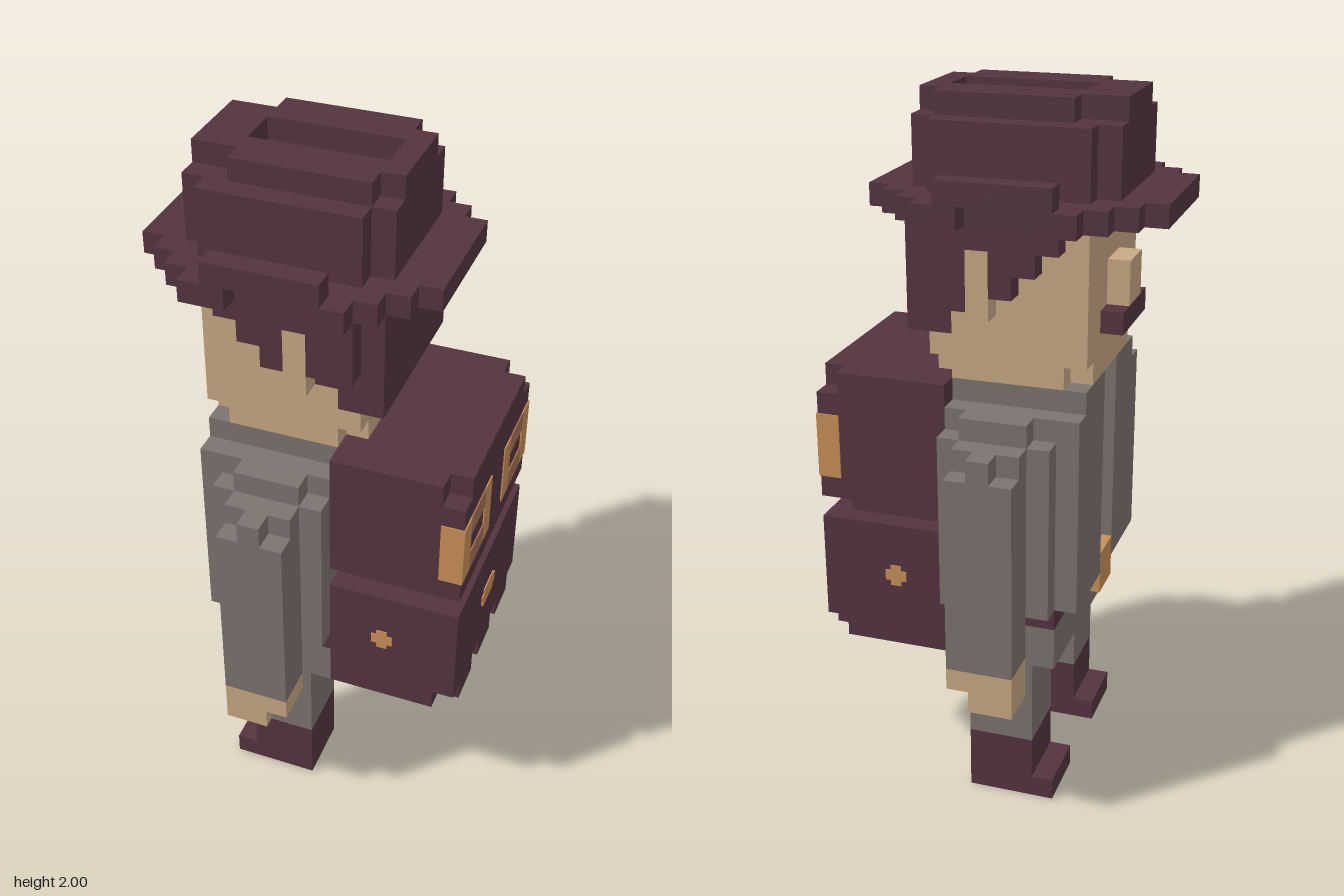
import * as THREE from 'three';
import { mergeGeometries } from 'three/addons/utils/BufferGeometryUtils.js';

const V = 1 / 16; // edge of one block
const mat = (name, color) => {
  const m = new THREE.MeshStandardMaterial({ color });
  m.name = name;
  return m;
};

export function createModel() {
  const group = new THREE.Group();
  const plum = mat('plum', 0x543440);
  const skin = mat('skin', 0xc9a983);
  const grey = mat('warm grey', 0x7d736f);
  const brass = mat('brass', 0xc98f57);
  const leather = mat('leather', 0xa87058);

  // Each box is [x0, x1, y0, y1, z0, z1] in block units; the grid is 15 x 32 x 16
  const block = ([x0, x1, y0, y1, z0, z1]) => {
    const g = new THREE.BoxGeometry((x1 - x0) * V, (y1 - y0) * V, (z1 - z0) * V);
    return g.translate(((x0 + x1) / 2 - 7.5) * V, ((y0 + y1) / 2) * V, ((z0 + z1) / 2 - 8) * V);
  };
  const part = (name, material, boxes) => {
    const mesh = new THREE.Mesh(mergeGeometries(boxes.map(block)), material);
    mesh.name = name;
    group.add(mesh);
  };
  const mirror = ([x0, x1, y0, y1, z0, z1]) => [x0, x1, y0, y1, 16 - z1, 16 - z0];
  // The figure looks along -x, so its pairs are mirrored in z
  const pair = (name, material, boxes) => {
    part(name + 'A', material, boxes);
    part(name + 'B', material, boxes.map(mirror));
  };

  // Legs and boots
  pair('boot', plum, [[5, 8, 0, 3, 10, 13], [4, 5, 0, 1, 10, 13]]);
  pair('trouserLeg', grey, [[5, 8, 3, 7, 10, 13]]);

  // Coat, belt and buckle
  part('coatSkirt', grey, [[4, 9, 7, 9, 3, 13]]);
  part('belt', plum, [[4, 9, 9, 10, 3, 13]]);
  part('coat', grey, [[4, 9, 10, 19, 3, 13], [4, 9, 19, 20, 4, 12]]);
  pair('coatFlap', grey, [[3, 4, 10, 19, 9, 13], [3, 4, 19, 20, 9, 12]]);
  pair('shoulder', grey, [[4, 9, 10, 18, 13, 14], [5, 8, 18, 19, 13, 14]]);
  part('beltBuckle', brass, [[3, 4, 9, 11, 7, 9]]);

  // Arms and hands
  pair('sleeve', grey, [[5, 8, 8, 17, 14, 16], [5, 8, 17, 18, 14, 15], [6, 7, 17, 18, 15, 16]]);
  pair('hand', skin, [[5, 8, 7, 8, 14, 16], [5, 7, 6, 7, 14, 16]]);

  // Backpack: two bags around a narrower core, with notched corners
  part('backpackTop', plum, [
    [9, 15, 14, 19, 3, 13], [9, 14, 19, 20, 3, 13], [14, 15, 19, 20, 4, 12],
  ]);
  part('backpackCore', plum, [[9, 14, 13, 14, 4, 12]]);
  part('backpackBottom', plum, [
    [9, 15, 8, 13, 3, 13], [9, 14, 7, 8, 3, 13],
    [14, 15, 7, 8, 4, 6], [14, 15, 7, 8, 7, 9], [14, 15, 7, 8, 10, 12],
  ]);

  // Thin plates on the backpack: strap frames and rounded studs
  const t = 0.06;
  pair('strapFrame', brass, [
    [15, 15 + t, 15, 18, 12, 13], [15, 15 + t, 15, 18, 9, 10], [14, 15 + t, 15, 18, 13, 13 + t],
  ]);
  pair('strapInset', leather, [[15, 15 + t, 15, 16, 10, 12], [15, 15 + t, 17, 18, 10, 12]]);
  part('backStud', brass, [[15, 15 + t, 10.25, 10.75, 7, 9], [15, 15 + t, 10, 11, 7.25, 8.75]]);
  pair('sideStud', brass, [[11, 12, 10.25, 10.75, 13, 13 + t], [11.25, 11.75, 10, 11, 13, 13 + t]]);

  // Head
  part('head', skin, [
    [3, 9, 21, 23, 4, 12], [3, 8, 23, 27, 4, 12], [9, 10, 21, 22, 4, 12],
    [4, 9, 20, 21, 4, 12], [3, 10, 20, 21, 5, 11],
  ]);
  part('nose', skin, [[2, 3, 23, 25, 7, 9]]);
  part('moustache', plum, [[2, 3, 22, 23, 6, 10]]);
  pair('ear', skin, [[7, 8, 23, 26, 12, 13]]);

  // Hair steps down from the temples to the nape
  part('backHair', plum, [[9, 11, 22, 27, 4, 12], [8, 9, 23, 27, 4, 12]]);
  pair('sideHair', plum, [
    [4, 5, 26, 27, 12, 13], [5, 6, 25, 27, 12, 13], [6, 7, 24, 27, 12, 13],
    [7, 8, 26, 27, 12, 13], [8, 10, 24, 27, 12, 13],
  ]);

  // Hat: brim curled up at the sides, crown with a dent on top
  part('hatBrim', plum, [[0, 13, 27, 28, 5, 11], [1, 12, 27, 28, 4, 12], [2, 11, 27, 28, 3, 13]]);
  pair('brimCurl', plum, [
    [3, 5, 27, 28, 13, 14], [8, 10, 27, 28, 13, 14], [4, 9, 28, 29, 13, 14],
  ]);
  part('hatCrown', plum, [[3, 10, 28, 31, 4, 12], [2, 11, 28, 31, 5, 11]]);
  part('hatTop', plum, [
    [4, 10, 31, 32, 5, 7], [4, 10, 31, 32, 9, 11], [2, 4, 31, 32, 6, 10], [10, 11, 31, 32, 6, 10],
  ]);

  return group;
}
